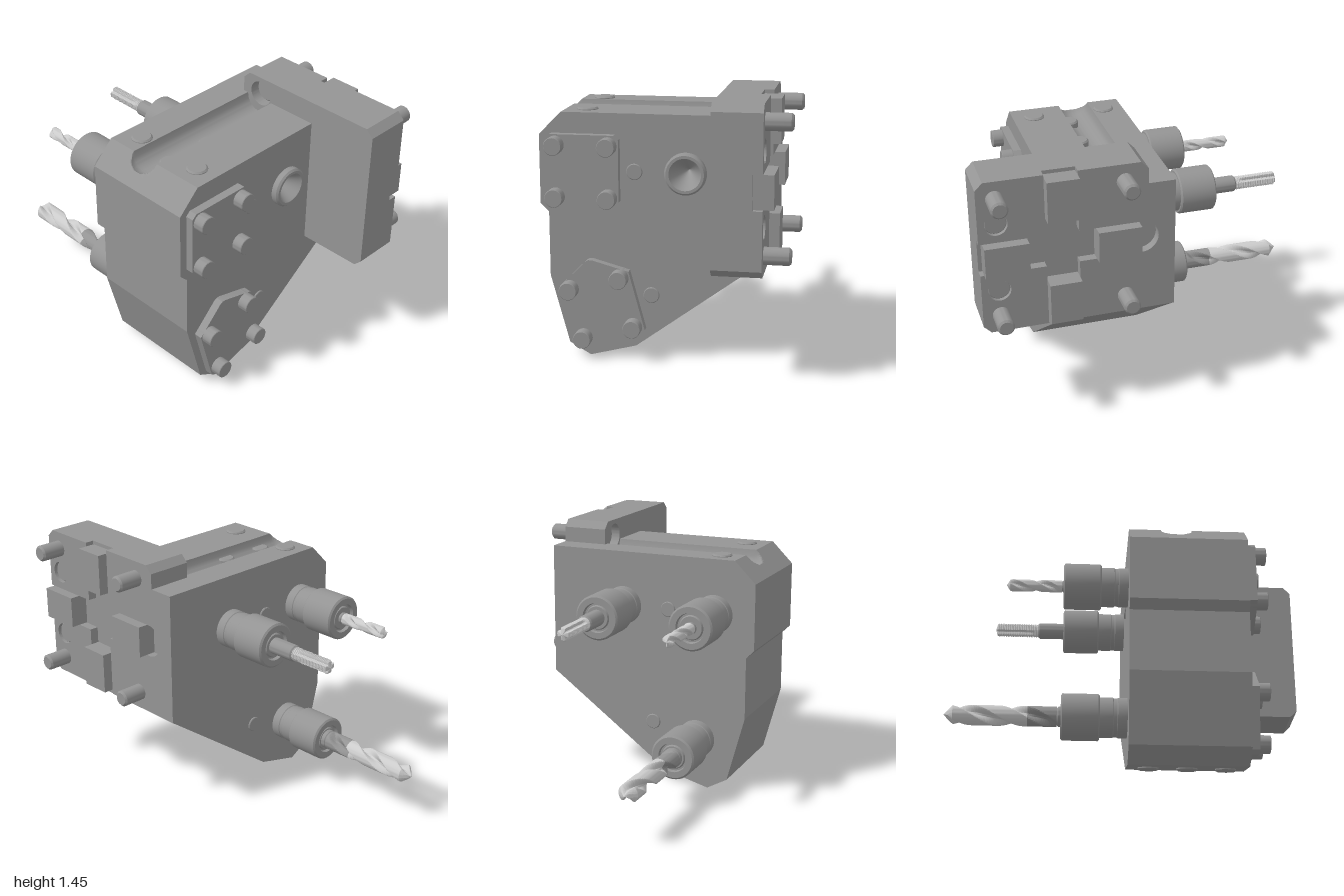
import * as THREE from 'three';
import { toCreasedNormals } from 'three/addons/utils/BufferGeometryUtils.js';

const steel = new THREE.MeshStandardMaterial({ color: 0x949494 });
const brightSteel = new THREE.MeshStandardMaterial({ color: 0xcccccc });

export function createModel() {
  const model = new THREE.Group();

  const add = (name, geometry, parent = model, material = steel) => {
    const mesh = new THREE.Mesh(geometry, material);
    mesh.name = name;
    parent.add(mesh);
  };
  const shapeOf = (pts) => new THREE.Shape(pts.map(([x, y]) => new THREE.Vector2(x, y)));
  const punch = (shape, x, y, r) => {
    shape.holes.push(new THREE.Path().absarc(x, y, r, 0, Math.PI * 2, true));
    return shape;
  };
  // Extrude a front outline from z0 to z1
  const slab = (shape, z0, z1) => toCreasedNormals(
    new THREE.ExtrudeGeometry(shape, { depth: z1 - z0, bevelEnabled: false, curveSegments: 32 })
      .translate(0, 0, z0), 0.24);
  // Extrude a side outline (u = -z, v = y) from x0 to x1
  const sideSlab = (shape, x0, x1) => slab(shape, x0, x1).rotateY(Math.PI / 2);
  const lathe = (pts) => toCreasedNormals(
    new THREE.LatheGeometry(pts.map(([r, y]) => new THREE.Vector2(r, y)), 40), 0.5);
  // Short pin with a chamfered rim, standing on y = 0
  const pin = (r, h, c = 0.008) => lathe([[0, 0], [r, 0], [r, h - c], [r - c, h], [0, h]]);

  // ---- Main body: three layers, the middle one carrying the top groove ----
  const lower = [[-0.68, 0.835], [-0.635, 0.79], [-0.635, 0.44], [-0.535, 0.067],
    [-0.42, 0.002], [-0.17, 0.067], [0.49, 0.55]];
  const fullTop = [[0.49, 1.325], [-0.56, 1.325], [-0.68, 1.205]];
  add('bodyBack', slab(shapeOf([...lower, ...fullTop]), -0.035, 0.14));
  add('bodyMiddle', slab(shapeOf([...lower, [0.49, 1.205], [-0.68, 1.205]]), 0.14, 0.31));
  add('bodyFront', slab(punch(shapeOf([...lower, ...fullTop]), 0.1, 1.02, 0.08), 0.31, 0.6));
  add('bodyCornerWedge', slab(shapeOf([[0.49, 0.55], [0.54, 0.586], [0.49, 0.586]]), -0.035, 0.48));

  // Round-bottomed groove with a ball end, running into the chamfer
  const groove = new THREE.PlaneGeometry(1.17, 0.17, 156, 24).rotateX(-Math.PI / 2)
    .translate(-0.095, 0, 0.225);
  const gp = groove.attributes.position;
  for (let i = 0; i < gp.count; i++) {
    const x = gp.getX(i), dz = gp.getZ(i) - 0.225;
    const dx = Math.max(0, -0.56 - x);
    const cut = Math.sqrt(Math.max(0, 0.085 ** 2 - dz * dz - dx * dx));
    gp.setY(i, 1.325 - Math.max(cut, dx));
  }
  add('topGroove', toCreasedNormals(groove, 0.5));

  // ---- Mounting plate on the +x side ----
  const plate = shapeOf([[-1, 0.625], [-0.96, 0.585], [-0.11, 0.585], [-0.11, 1.41],
    [-0.15, 1.45], [-0.96, 1.45], [-1, 1.41]]);
  add('mountingPlate', sideSlab(punch(plate, -0.235, 1.355, 0.07), 0.285, 0.49));
  add('counterboredHead', pin(0.066, 0.16).rotateZ(Math.PI / 2).translate(0.49, 1.355, 0.235));

  // Raised pads leave a cross-shaped key slot between them
  const padTop = shapeOf([[-1, 1.11], [-0.655, 1.11], [-0.655, 1.45], [-0.96, 1.45], [-1, 1.41]]);
  const padBottom = shapeOf([[-1, 0.625], [-0.96, 0.585], [-0.655, 0.585], [-0.655, 0.93], [-1, 0.93]]);
  add('platePadTop', sideSlab(punch(padTop, -0.905, 1.21, 0.06), 0.49, 0.54));
  add('platePadBottom', sideSlab(punch(padBottom, -0.905, 0.83, 0.06), 0.49, 0.54));
  const padRear = shapeOf([[-0.48, 0.585], [0.035, 0.585], [0.035, 1.325], [-0.11, 1.325],
    [-0.11, 1.41], [-0.15, 1.45], [-0.48, 1.45], [-0.48, 1.11], [-0.145, 1.11]]);
  padRear.absarc(-0.145, 1.02, 0.09, Math.PI / 2, -Math.PI / 2, true);
  padRear.lineTo(-0.48, 0.93);
  add('platePadRear', sideSlab(padRear, 0.49, 0.54));

  // Keys seated in the cross slot
  for (const y of [1.315, 0.725])
    add('verticalKey', new THREE.BoxGeometry(0.104, 0.23, 0.17).translate(0.542, y, 0.567));
  for (const z of [0.865, 0.275])
    add('horizontalKey', new THREE.BoxGeometry(0.104, 0.175, 0.23).translate(0.542, 1.02, z));

  // Protruding bolts and recessed plugs
  for (const z of [0.905, 0.235]) for (const y of [1.355, 0.685])
    add('plateBolt', pin(0.045, 0.188, 0.01).rotateZ(-Math.PI / 2).translate(0.49, y, z));
  for (const y of [1.21, 0.83])
    add('platePlug', pin(0.058, 0.035, 0.004).rotateZ(-Math.PI / 2).translate(0.49, y, 0.905));

  // ---- Front covers with four screws each ----
  const coverShape = shapeOf([[-0.195, 0.17], [-0.195, -0.16], [-0.02, -0.262], [0, -0.268],
    [0.02, -0.262], [0.195, -0.16], [0.195, 0.17], [0.17, 0.193], [-0.17, 0.193]]);
  const addCover = (name, x, y, angle) => {
    const cover = new THREE.Group();
    cover.name = name;
    cover.position.set(x, y, 0.6);
    cover.rotation.z = angle;
    add('coverPlate', slab(coverShape, 0, 0.045), cover);
    for (const sx of [-1, 1]) for (const sy of [-1, 1])
      add('coverScrew', pin(0.048, 0.105, 0.003).rotateX(Math.PI / 2)
        .translate(sx * 0.14, sy * 0.1375, 0), cover);
    model.add(cover);
  };
  addCover('upperCover', -0.443, 1.021, 0);
  addCover('lowerCover', -0.347, 0.285, Math.PI * 195 / 180);

  // Conical port
  add('frontPort', lathe([[0.11, 0], [0.11, 0.03], [0.1, 0.04], [0.085, 0.04], [0.075, 0.025],
    [0, -0.11]]).rotateX(Math.PI / 2).translate(0.1, 1.02, 0.6));

  // ---- Small plugs on front, back, top and underside ----
  for (const [x, y] of [[-0.172, 1.02], [-0.085, 0.355]]) {
    add('frontPlug', pin(0.043, 0.008, 0.004).rotateX(Math.PI / 2).translate(x, y, 0.6));
    add('backPlug', pin(0.043, 0.008, 0.004).rotateX(-Math.PI / 2).translate(x, y, -0.035));
  }
  for (const z of [0.075, 0.48]) add('topPlug', pin(0.056, 0.012).translate(-0.445, 1.325, z));
  for (const [x, z] of [[-0.445, 0.28], [-0.175, 0.29]])
    add('groovePlug', pin(0.052, 0.08).translate(x, 1.2, z));
  const slope = Math.atan2(0.065, 0.25);
  for (const z of [0.08, 0.285, 0.49])
    add('bottomPlug', pin(0.056, 0.014).rotateX(Math.PI).rotateZ(slope).translate(-0.28, 0.0385, z));

  // ---- Tool holders and cutting tools on the back ----
  // Stretch of a fluted rod along y, from y0 to y1, twisted as a right-handed helix
  const fluted = (t, y0, y1) => {
    const g = new THREE.CylinderGeometry(t.r, t.r, y1 - y0, 48, 96).translate(0, (y0 + y1) / 2, 0);
    const p = g.attributes.position;
    for (let i = 0; i < p.count; i++) {
      const x = p.getX(i), y = p.getY(i), z = p.getZ(i);
      const a = Math.atan2(-z, x) - t.twist * (y - t.start);
      const wave = Math.abs(Math.cos(a * t.lobes / 2));
      const flute = t.core + (1 - t.core) * THREE.MathUtils.smoothstep(wave, 0.3, 0.7);
      const runout = THREE.MathUtils.smoothstep(y, t.start, t.start + 0.06);
      const taper = Math.min(1, Math.max(0.02, (t.end - y) / t.tip));
      const ripple = 1 - t.thread * (Math.round((y - y0) / (y1 - y0) * 96) % 4 < 2 ? 0 : 1);
      const k = THREE.MathUtils.lerp(1, flute, runout) * taper * ripple;
      p.setX(i, x * k);
      p.setZ(i, z * k);
    }
    return toCreasedNormals(g, 0.6);
  };

  const holderProfile = [[0.107, 0], [0.107, 0.05], [0.103, 0.054], [0.103, 0.072], [0.107, 0.076],
    [0.107, 0.145], [0.117, 0.145], [0.125, 0.153], [0.125, 0.342], [0.115, 0.35], [0.082, 0.35],
    [0.078, 0.33], [0.068, 0.33], [0.062, 0.34], [0, 0.34]];
  // Distances start, bright and end are measured from the back face
  const addTool = (name, x, y, shankR, t) => {
    const tool = new THREE.Group();
    tool.name = name;
    tool.position.set(x, y, -0.035);
    tool.rotation.x = -Math.PI / 2;
    add('colletHolder', lathe(holderProfile), tool);
    add('toolShank', pin(shankR, t.start - 0.3).translate(0, 0.3, 0), tool);
    if (t.bright > t.start) add('cutterRoot', fluted(t, t.start, t.bright), tool);
    add('cutter', fluted(t, t.bright, t.end), tool, brightSteel);
    model.add(tool);
  };
  addTool('tapTool', 0.1, 1.02, 0.045, { r: 0.038, start: 0.495, bright: 0.495, end: 0.742,
    lobes: 4, twist: 0, tip: 0.012, core: 0.6, thread: 0.1 });
  addTool('smallDrillTool', -0.445, 1.02, 0.033, { r: 0.033, start: 0.36, bright: 0.36, end: 0.66,
    lobes: 2, twist: 19, tip: 0.02, core: 0.33, thread: 0 });
  addTool('largeDrillTool', -0.35, 0.289, 0.054, { r: 0.054, start: 0.37, bright: 0.525, end: 0.965,
    lobes: 2, twist: 11.5, tip: 0.05, core: 0.33, thread: 0 });

  return model;
}
